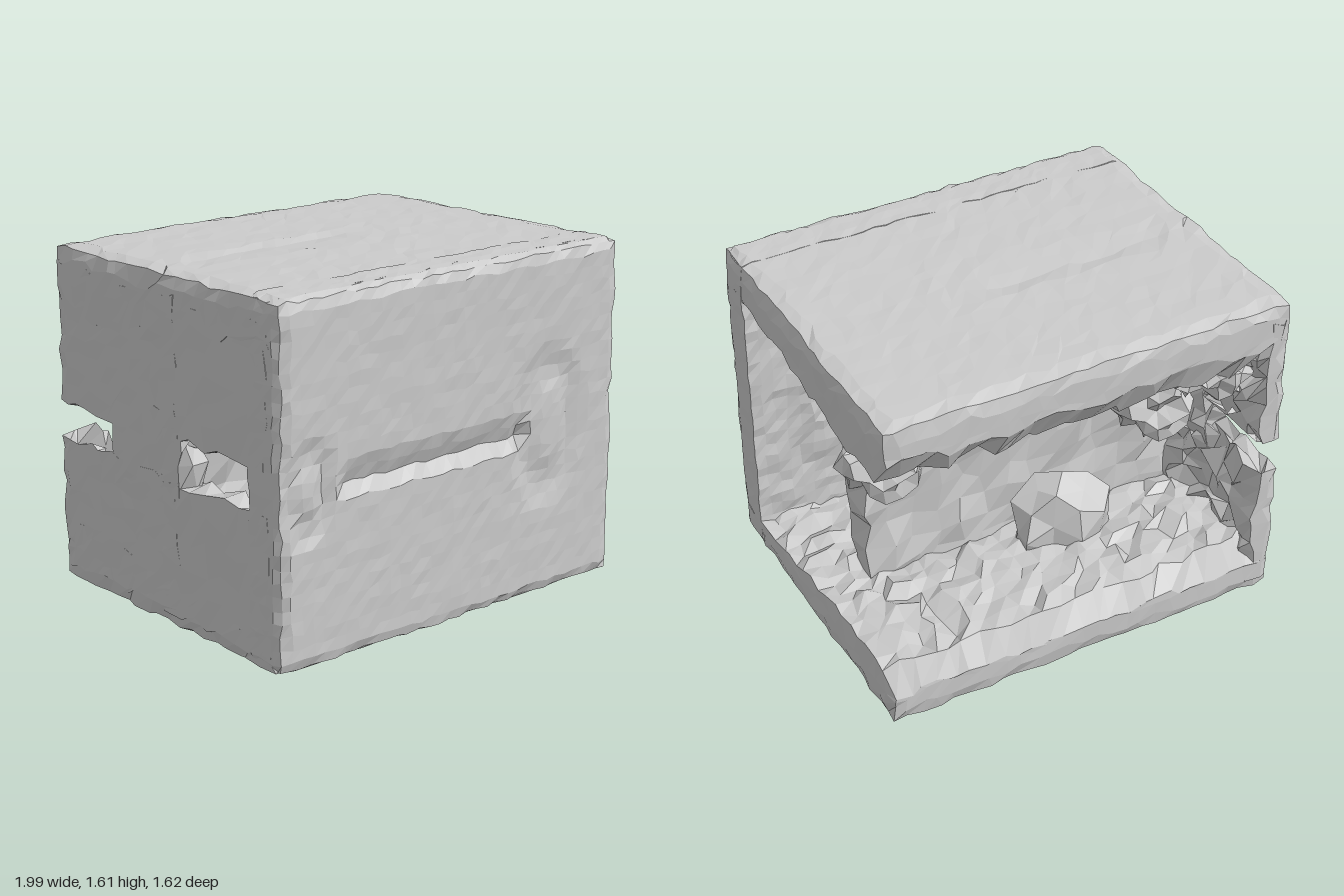
import * as THREE from 'three';

const MIN = [-1, 0.02, -0.81], MAX = [0.99, 1.63, 0.81];

// Repeatable noise in -1..1, tied to position so shared corners stay joined
function noise(x, y, z, k) {
  const r = (v) => Math.round(v * 1000) / 1000 + 0;
  const s = Math.sin(r(x) * 127.1 + r(y) * 311.7 + r(z) * 74.7 + k * 53.3) * 43758.5453;
  return (s - Math.floor(s)) * 2 - 1;
}

// Box between two corners: tidy on the outer bounds, rough elsewhere
function roughBox(name, a, b, seg, rough, rule) {
  const size = a.map((v, i) => b[i] - v);
  const g = new THREE.BoxGeometry(...size, ...size.map((s) => Math.max(1, Math.round(s / seg))));
  g.translate(...a.map((v, i) => (v + b[i]) / 2));
  const pos = g.attributes.position;
  for (let n = 0; n < pos.count; n++) {
    const p = [pos.getX(n), pos.getY(n), pos.getZ(n)];
    const q = p.slice();
    const lo = p.map((v, i) => Math.abs(v - MIN[i]) < 0.004);
    const hi = p.map((v, i) => Math.abs(v - MAX[i]) < 0.004);
    const outer = lo.filter(Boolean).length + hi.filter(Boolean).length;
    if (rule) rule(q, p);
    for (let i = 0; i < 3; i++) {
      if (lo[i] || hi[i]) {
        // Softened outer edges with a faint unevenness
        const inset = (outer > 1 ? 0.018 : 0.003) + (outer > 1 ? 0.008 : 0.0025) * noise(...p, i);
        q[i] += lo[i] ? inset : -inset;
      } else {
        q[i] += (outer ? Math.min(rough, 0.025) : rough) * noise(...p, i);
      }
    }
    pos.setXYZ(n, ...q);
  }
  return finish(name, g);
}

function finish(name, g) {
  g.computeVertexNormals();
  const m = new THREE.Mesh(g, new THREE.MeshStandardMaterial({
    color: 0xcccccc, flatShading: true, side: THREE.DoubleSide }));
  m.name = name;
  return m;
}

// Broken lump of rubble
function lump(name, center, radii, rough, detail) {
  const g = new THREE.IcosahedronGeometry(1, detail);
  const pos = g.attributes.position;
  for (let n = 0; n < pos.count; n++) {
    const p = [pos.getX(n), pos.getY(n), pos.getZ(n)];
    const s = 0.85 + rough * noise(...p, 7);
    pos.setXYZ(n, ...p.map((v, i) => center[i] + v * radii[i] * s));
  }
  return finish(name, g);
}

const bump = (t) => (Math.abs(t) < 1 ? (1 - t * t) ** 2 : 0);

// Long groove with a worn ring at each end
function frontDents(q, p) {
  const [x, y] = p;
  let d = 0;
  if (x > -0.68 && x < 0.42) d += 0.045 * bump((y - 0.81) / 0.075);
  for (const [cx, cy, rx, ry] of [[-0.84, 0.8, 0.1, 0.18], [0.55, 0.82, 0.17, 0.3]]) {
    const r = Math.hypot((x - cx) / rx, (y - cy) / ry);
    d += 0.022 * bump((r - 0.9) / 0.5);
  }
  q[2] -= d;
}

// Slab thickness across the depth, thinning at the back lip
const slabThickness = (z) =>
  z < -0.76 ? 0.18 : 0.18 + 0.13 * THREE.MathUtils.smoothstep(-z, -0.65, 0.6);

export function createModel() {
  const root = new THREE.Group();
  root.name = 'brokenBox';

  // Front wall
  root.add(roughBox('frontWall', [-1, 0.02, 0.6], [0.99, 1.63, 0.81], 0.06, 0.009, frontDents));

  // Ceiling and floor slabs
  root.add(roughBox('ceiling', [-1, 1.37, -0.81], [0.99, 1.63, 0.74], 0.08, 0.04, (q, p) => {
    if (p[1] < 1.38) q[1] = 1.63 - slabThickness(p[2]) - (p[0] < 0.8 ? 0.03 : 0);
    // Shallow scratch along the top
    if (p[1] > 1.62) {
      q[1] -= 0.012 * (0.81 - p[2]) / 1.62;
      if (p[0] > -0.8 && p[0] < 0.1) q[1] -= 0.012 * bump((p[2] + 0.05) / 0.09);
    }
  }));
  root.add(roughBox('floor', [-1, 0.02, -0.81], [0.99, 0.25, 0.74], 0.08, 0.025, (q, p) => {
    if (p[1] > 0.24) q[1] = 0.02 + slabThickness(p[2]) * 0.9;
  }));

  // End wall, broken through by two ragged slits
  root.add(roughBox('endWallUpperBack', [-1, 0.88, -0.81], [-0.88, 1.52, 0.1], 0.08, 0.05));
  root.add(roughBox('endWallUpperFront', [-1, 0.9, 0], [-0.89, 1.52, 0.72], 0.11, 0.03));
  root.add(roughBox('endWallLowerBack', [-1, 0.1, -0.81], [-0.88, 0.71, 0.1], 0.08, 0.05));
  root.add(roughBox('endWallLowerFront', [-1, 0.1, 0], [-0.89, 0.7, 0.72], 0.11, 0.03));
  root.add(roughBox('endWallMiddle', [-1, 0.6, -0.36], [-0.87, 1, 0.13], 0.08, 0.04));

  // Partition between the front and back compartments
  root.add(roughBox('partition', [-0.95, 0.15, -0.09], [0.74, 1.45, 0.07], 0.12, 0.025));

  // Rubble clinging to the partition, ceiling and floor
  root.add(lump('partitionRubble', [0.62, 0.84, -0.01], [0.2, 0.22, 0.17], 0.3, 2));
  root.add(lump('floorRubble', [-0.2, 0.32, -0.22], [0.3, 0.3, 0.2], 0.15, 1));
  root.add(lump('ceilingRubble', [0, 1.36, 0.28], [0.55, 0.13, 0.2], 0.25, 3));
  root.add(lump('cornerRubble', [-0.72, 0.8, -0.17], [0.2, 0.2, 0.18], 0.3, 2));
  root.add(lump('cornerRubbleHigh', [-0.75, 1.22, -0.45], [0.2, 0.18, 0.28], 0.3, 3));
  return root;
}
